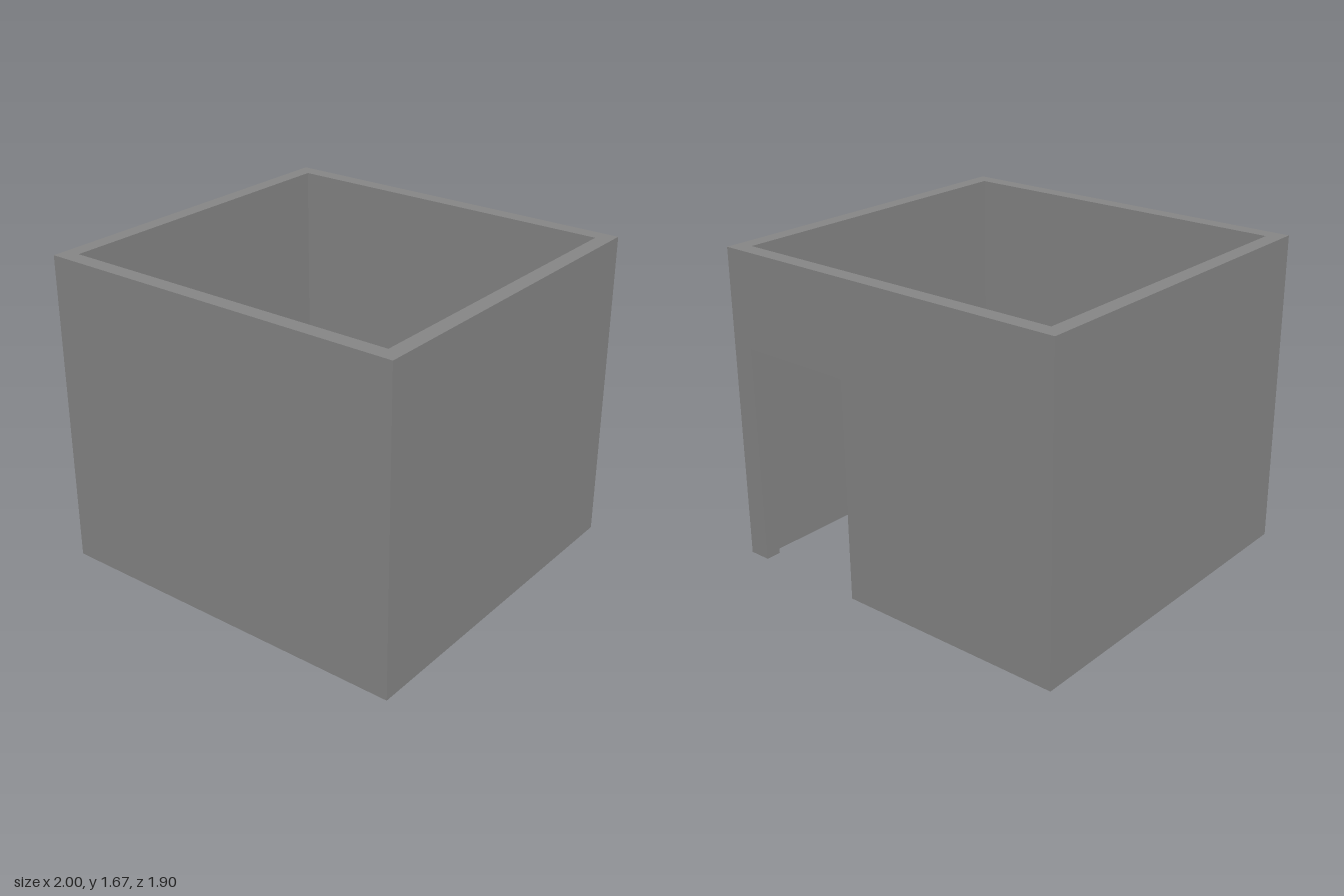
import * as THREE from 'three';

const mat = new THREE.MeshStandardMaterial({ color: 0x858585, flatShading: true });

// Box given by its minimum and maximum corners
function block(name, x0, x1, y0, y1, z0, z1) {
  const mesh = new THREE.Mesh(new THREE.BoxGeometry(x1 - x0, y1 - y0, z1 - z0), mat);
  mesh.position.set((x0 + x1) / 2, (y0 + y1) / 2, (z0 + z1) / 2);
  mesh.name = name;
  return mesh;
}

// Four legs inside the corners of a w by d rectangle
function addLegs(group, name, w, d, t, h) {
  for (const sx of [-1, 1]) for (const sz of [-1, 1]) {
    const x = sx * (w - t) / 2, z = sz * (d - t) / 2;
    group.add(block(name, x - t / 2, x + t / 2, 0, h, z - t / 2, z + t / 2));
  }
}

function makeTable() {
  const w = 0.857, d = 0.333, g = new THREE.Group();
  g.name = 'table';
  g.add(block('tableTop', -w / 2, w / 2, 0.393, 0.417, -d / 2, d / 2));
  addLegs(g, 'tableLeg', w, d, 0.024, 0.393);
  return g;
}

// Chair facing +z, backrest on its -z edge
function makeChair() {
  const s = 0.25, g = new THREE.Group();
  g.name = 'chair';
  g.add(block('seat', -s / 2, s / 2, 0.225, 0.245, -s / 2, s / 2));
  g.add(block('backrest', -s / 2, s / 2, 0.245, 0.442, -s / 2, -s / 2 + 0.02));
  addLegs(g, 'chairLeg', s, s, 0.02, 0.225);
  return g;
}

export function createModel() {
  const model = new THREE.Group();
  model.name = 'room';
  const X = 1, Z = 0.95, H = 1.675, T = 0.083;

  // Plain walls
  model.add(block('frontWall', -X, X, 0, H, Z - T, Z));
  model.add(block('leftWall', X - T, X, 0, H, -Z + T, Z - T));
  model.add(block('rightWall', -X, -X + T, 0, H, -Z + T, Z - T));

  // Back wall with a doorway open to the ground
  const outline = [[-X, 0], [0.25, 0], [0.25, 1.175], [0.88, 1.175], [0.88, 0], [X, 0], [X, H], [-X, H]];
  const shape = new THREE.Shape(outline.map(([x, y]) => new THREE.Vector2(x, y)));
  const backWall = new THREE.Mesh(new THREE.ExtrudeGeometry(shape, { depth: T, bevelEnabled: false }), mat);
  backWall.position.z = -Z;
  backWall.name = 'backWall';
  model.add(backWall);

  // Two tables along the front wall, one along the back wall
  for (const [x, z] of [[-0.489, 0.7], [0.368, 0.7], [-0.489, -0.704]]) {
    const table = makeTable();
    table.position.set(x, 0, z);
    model.add(table);
  }

  // One chair tucked under each table
  for (const [x, z, turn] of [[-0.5, 0.515, 0], [0.358, 0.515, 0], [-0.478, -0.518, Math.PI]]) {
    const chair = makeChair();
    chair.position.set(x, 0, z);
    chair.rotation.y = turn;
    model.add(chair);
  }
  return model;
}
